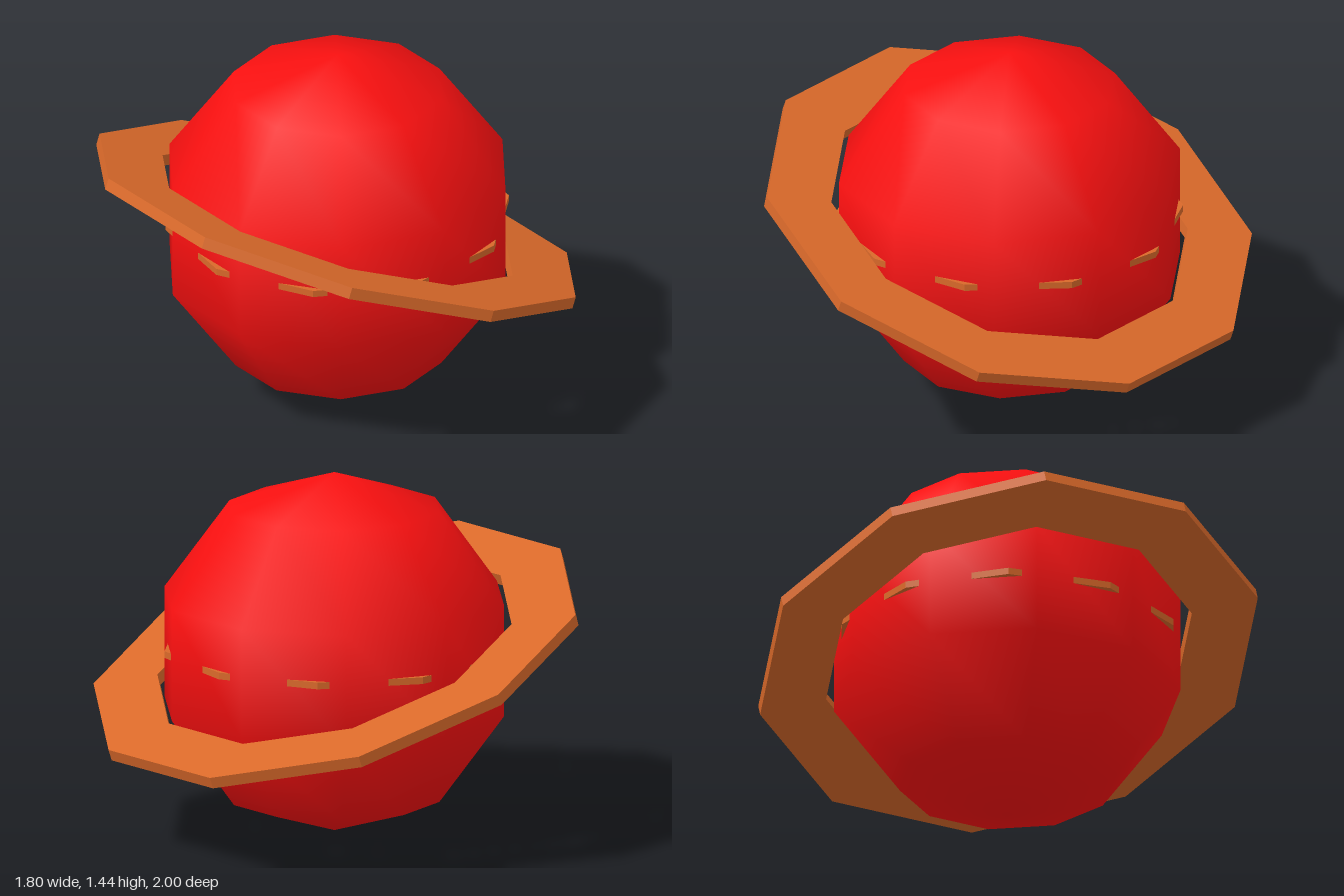
import * as THREE from 'three';

const SIDES = 10;

// Corners of a regular polygon, first corner at the given angle
function polygon(radius, phase) {
  return Array.from({ length: SIDES }, (_, i) => {
    const a = phase + (i / SIDES) * Math.PI * 2;
    return new THREE.Vector2(Math.cos(a) * radius, Math.sin(a) * radius);
  });
}

// Flat faceted ring lying in the xz plane, centred on its own thickness
function ringGeometry(outer, inner, height, phase) {
  const shape = new THREE.Shape(polygon(outer, phase));
  shape.holes.push(new THREE.Path(polygon(inner, phase)));
  const geometry = new THREE.ExtrudeGeometry(shape, { depth: height, bevelEnabled: false });
  geometry.translate(0, 0, -height / 2);
  geometry.rotateX(-Math.PI / 2);
  return geometry;
}

export function createModel() {
  const model = new THREE.Group();
  model.name = 'ringedPlanet';

  const red = new THREE.MeshStandardMaterial({ color: 0xfa1010 });
  const orange = new THREE.MeshStandardMaterial({ color: 0xd9692a, flatShading: true });

  const add = (name, geometry, material, x, y) => {
    const mesh = new THREE.Mesh(geometry, material);
    mesh.name = name;
    mesh.position.set(x, y, 0);
    model.add(mesh);
    return mesh;
  };

  // Smooth-shaded low-poly globe with corners on the z axis
  const globe = new THREE.SphereGeometry(0.72, SIDES, 5);
  globe.rotateY(Math.PI / 2);
  add('planet', globe, red, 0.005, 0.72);

  // Wide tilted ring
  const ring = add('tiltedRing', ringGeometry(1, 0.735, 0.047, Math.PI / 2), orange, -0.003, 0.705);
  ring.rotation.z = THREE.MathUtils.degToRad(-20);

  // Thin belt whose corners just break through the globe
  add('equatorBelt', ringGeometry(0.682, 0.6, 0.027, THREE.MathUtils.degToRad(8.4)), orange, 0.003, 0.74);

  return model;
}
